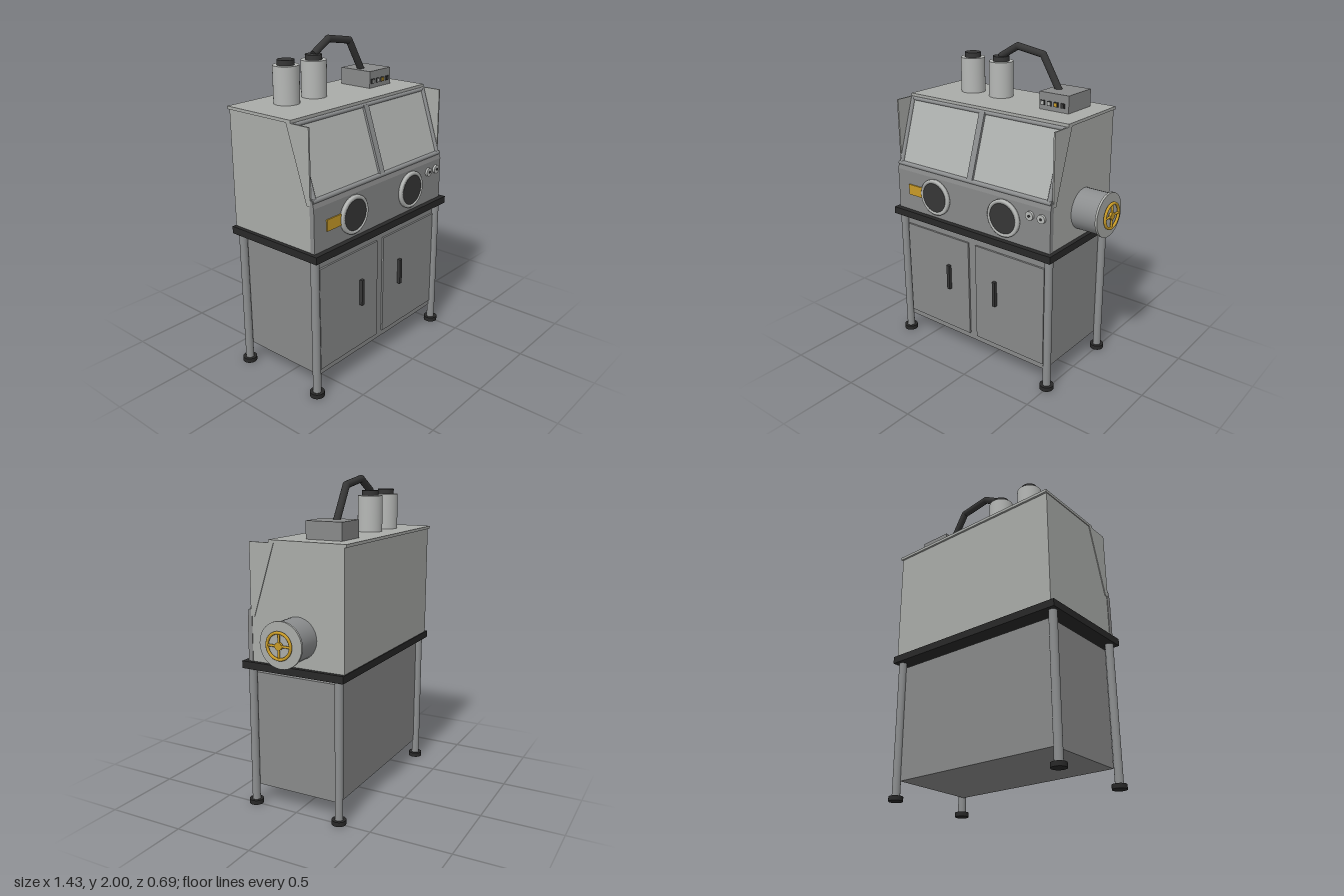
import * as THREE from 'three';

export function createModel() {
  const root = new THREE.Group();
  root.name = 'gloveCabinet';
  const mat = (name, color) => {
    const m = new THREE.MeshStandardMaterial({ color });
    m.name = name;
    return m;
  };
  const body = mat('bodyGrey', 0xa9aba8);
  const panel = mat('panelGrey', 0x888989);
  const steel = mat('steelGrey', 0x8c8e8f);
  const light = mat('lightMetal', 0xb6b8b6);
  const glass = mat('windowGrey', 0xb0b3b1);
  const dark = mat('darkRubber', 0x363636);
  const black = mat('blackTop', 0x282828);
  const gold = mat('brass', 0xc89b28);

  const add = (name, geo, material, x = 0, y = 0, z = 0, parent = root) => {
    const m = new THREE.Mesh(geo, material);
    m.name = name;
    m.position.set(x, y, z);
    parent.add(m);
    return m;
  };
  // Box from its minimum and maximum on each axis
  const box = (name, material, x0, x1, y0, y1, z0, z1, parent = root) =>
    add(name, new THREE.BoxGeometry(x1 - x0, y1 - y0, z1 - z0), material,
      (x0 + x1) / 2, (y0 + y1) / 2, (z0 + z1) / 2, parent);
  const cyl = (name, material, r, h, x, y, z, axis = 'y', r2 = r, parent = root) => {
    const g = new THREE.CylinderGeometry(r, r2, h, 32);
    if (axis === 'x') g.rotateZ(-Math.PI / 2);
    if (axis === 'z') g.rotateX(Math.PI / 2);
    return add(name, g, material, x, y, z, parent);
  };
  // Extrude a (z, y) side profile between two x values
  const sideProfile = (name, material, pts, x0, x1) => {
    const shape = new THREE.Shape(pts.map(([z, y]) => new THREE.Vector2(z, y)));
    const g = new THREE.ExtrudeGeometry(shape, { depth: x1 - x0, bevelEnabled: false });
    g.rotateY(-Math.PI / 2);
    return add(name, g, material, x1, 0, 0);
  };
  // Round bar between two points
  const bar = (name, material, a, b, r, parent = root) => {
    const va = new THREE.Vector3(...a), d = new THREE.Vector3(...b).sub(va);
    const m = add(name, new THREE.CylinderGeometry(r, r, d.length(), 16), material, 0, 0, 0, parent);
    m.position.copy(va).addScaledVector(d, 0.5);
    m.quaternion.setFromUnitVectors(new THREE.Vector3(0, 1, 0), d.normalize());
    return m;
  };

  // Stand: table top, legs and feet
  box('tableTop', black, -0.715, 0.535, 0.88, 0.925, -0.34, 0.343);
  for (const x of [-0.675, 0.495]) for (const z of [-0.293, 0.293]) {
    cyl('leg', steel, 0.025, 0.86, x, 0.455, z);
    cyl('foot', black, 0.044, 0.028, x, 0.014, z);
  }

  // Lower cupboard with two doors
  box('cupboard', panel, -0.65, 0.475, 0.12, 0.85, -0.285, 0.285);
  for (const [x0, x1, hx] of [[-0.64, -0.12, -0.28], [-0.062, 0.464, 0.098]]) {
    box('door', panel, x0, x1, 0.16, 0.81, 0.28, 0.297);
    box('doorHandle', dark, hx - 0.011, hx + 0.011, 0.443, 0.612, 0.297, 0.318);
  }

  // Upper chamber with sloping front, side wings and lid
  sideProfile('chamber', body,
    [[-0.333, 0.925], [0.285, 0.925], [0.285, 1.225], [0.15, 1.64], [-0.333, 1.64]], -0.69, 0.508);
  for (const x of [-0.695, 0.503])
    sideProfile('sideWing', body, [[0.285, 1.2], [0.285, 1.638], [0.12, 1.638], [0.26, 1.2]], x, x + 0.01);
  box('lid', body, -0.695, 0.513, 1.637, 1.655, -0.345, 0.155);
  sideProfile('frontPanel', panel,
    [[0.28, 0.925], [0.31, 0.925], [0.31, 1.19], [0.298, 1.235], [0.28, 1.235]], -0.693, 0.511);

  // Sloping windows and their frame
  const front = new THREE.Group();
  front.name = 'windowFrame';
  front.position.set(-0.091, 1.432, 0.2185);
  front.rotation.x = -Math.atan2(0.135, 0.415);
  root.add(front);
  for (const s of [-1, 1]) {
    box('window', glass, s * 0.2925 - 0.275, s * 0.2925 + 0.275, -0.205, 0.2, 0, 0.008, front);
    bar('sidePost', steel, [s * 0.58, -0.21, 0.008], [s * 0.58, 0.205, 0.008], 0.014, front);
  }
  box('centrePost', steel, -0.021, 0.021, -0.21, 0.205, 0, 0.022, front);
  bar('topRail', steel, [-0.59, 0.203, 0.006], [0.59, 0.203, 0.006], 0.012, front);
  bar('sillRail', steel, [-0.69, 1.228, 0.294], [0.508, 1.228, 0.294], 0.014);

  // Glove ports
  for (const x of [-0.365, 0.18]) {
    const ring = new THREE.LatheGeometry(
      [[0.095, 0], [0.117, 0], [0.117, 0.016], [0.11, 0.022], [0.095, 0.022], [0.095, 0]]
        .map(([r, h]) => new THREE.Vector2(r, h)), 40).rotateX(Math.PI / 2);
    add('portRing', ring, light, x, 1.065, 0.309);
    cyl('portCover', dark, 0.096, 0.018, x, 1.065, 0.319, 'z');
  }

  // Front plate and knobs
  box('brassPlate', gold, -0.595, -0.45, 1.033, 1.102, 0.309, 0.318);
  for (const x of [0.371, 0.453]) {
    cyl('knob', light, 0.027, 0.016, x, 1.13, 0.317, 'z');
    cyl('knobCentre', dark, 0.008, 0.006, x, 1.13, 0.327, 'z');
  }

  // Side duct with flange and handwheel
  cyl('duct', steel, 0.127, 0.18, 0.595, 1.1, -0.03, 'x');
  cyl('ductFlange', body, 0.137, 0.014, 0.682, 1.1, -0.03, 'x');
  const wheel = new THREE.Group();
  wheel.name = 'handwheel';
  wheel.position.set(0.706, 1.1, -0.03);
  root.add(wheel);
  add('wheelRim', new THREE.TorusGeometry(0.076, 0.009, 12, 40).rotateY(Math.PI / 2), gold, 0, 0, 0, wheel);
  bar('wheelSpoke', gold, [0, -0.076, 0], [0, 0.076, 0], 0.007, wheel);
  bar('wheelSpoke', gold, [0, 0, -0.076], [0, 0, 0.076], 0.007, wheel);
  cyl('wheelHub', gold, 0.023, 0.016, 0, 0, 0, 'x', 0.023, wheel);
  cyl('wheelShaft', gold, 0.01, 0.03, -0.012, 0, 0, 'x', 0.01, wheel);

  // Filter canisters
  for (const x of [-0.425, -0.195]) {
    cyl('canister', light, 0.077, 0.222, x, 1.764, -0.14);
    cyl('canisterCap', dark, 0.051, 0.032, x, 1.89, -0.14);
  }

  // Control box with buttons
  box('controlBox', panel, 0.185, 0.392, 1.65, 1.76, -0.255, -0.022);
  [light, light, gold, dark].forEach((m, i) => {
    const x = 0.212 + i * 0.047;
    box('buttonRim', dark, x - 0.014, x + 0.014, 1.683, 1.711, -0.023, -0.015);
    box('button', m, x - 0.01, x + 0.01, 1.687, 1.707, -0.016, -0.011);
  });

  // Jointed hose from canister to control box
  const path = [[-0.195, 1.905], [-0.065, 1.98], [0.125, 1.95], [0.25, 1.74]].map(([x, y]) => [x, y, -0.14]);
  path.slice(1).forEach((p, i) => {
    bar('hose', dark, path[i], p, 0.022);
    if (i < 2) add('hoseJoint', new THREE.SphereGeometry(0.022, 16, 12), dark, ...p);
  });

  return root;
}
